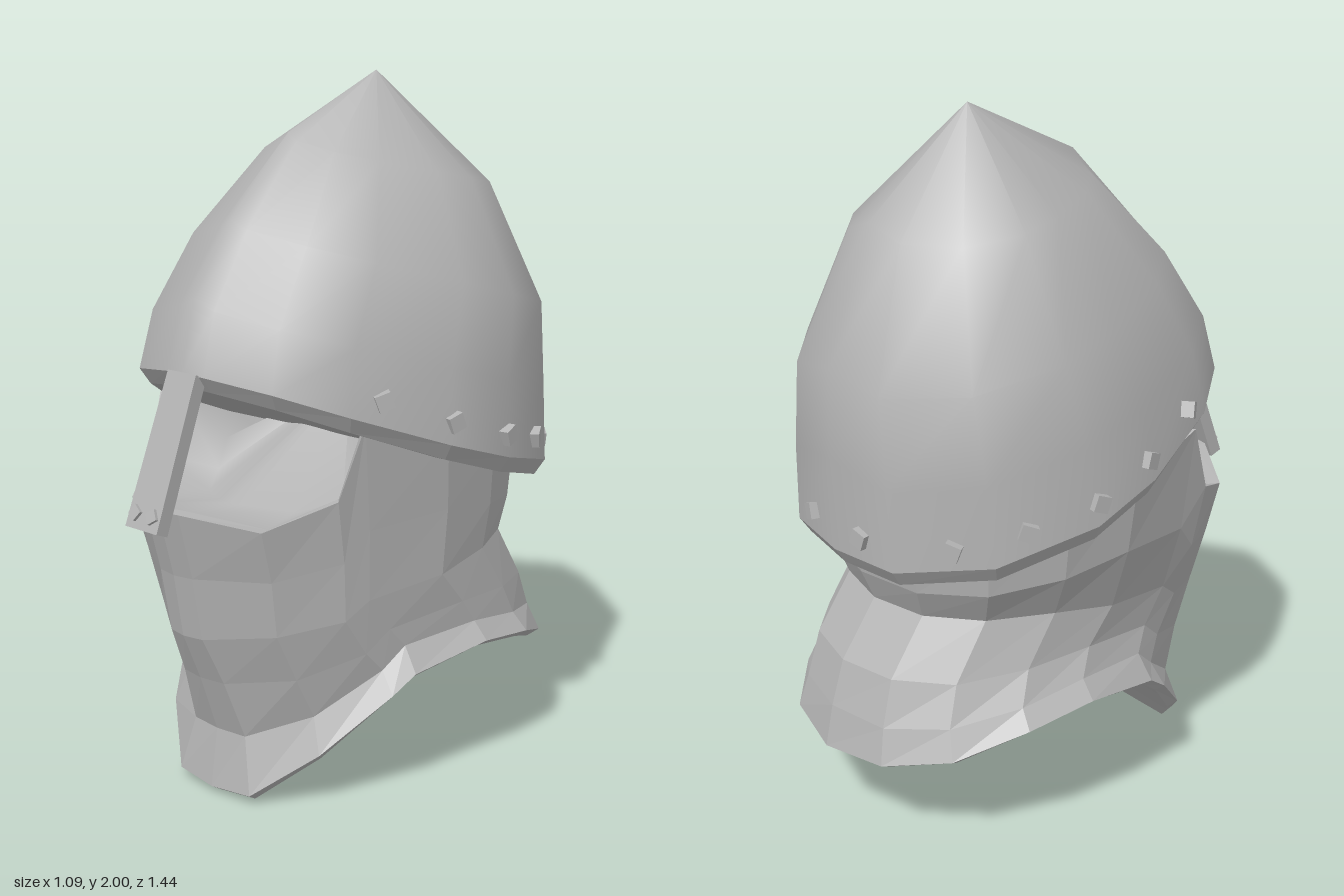
import * as THREE from 'three';

const steel = new THREE.MeshStandardMaterial({ color: 0xb4b4b4 });
steel.name = 'steel';
const V = (x, y, z) => new THREE.Vector3(x, y, z);

// Skin a list of closed rings, ordered so that the outside is downwards
function loft(name, rings, flat) {
  const n = rings[0].length, index = [];
  for (let r = 0; r < rings.length - 1; r++) {
    for (let c = 0; c < n; c++) {
      const a = r * n + c, b = r * n + (c + 1) % n;
      index.push(a, a + n, b, b, a + n, b + n);
    }
  }
  return skin(name, rings.flat(), index, flat);
}

function skin(name, points, index, flat) {
  let geo = new THREE.BufferGeometry().setFromPoints(points);
  geo.setIndex(index);
  if (flat) geo = geo.toNonIndexed();
  geo.computeVertexNormals();
  const mesh = new THREE.Mesh(geo, steel);
  mesh.name = name;
  return mesh;
}

// Complete a half ring (front centre to back centre) with its mirror image
const mirrorRing = half => [
  ...half,
  ...half.slice(1, -1).reverse().map(p => V(-p.x, p.y, p.z)),
];
const inset = (ring, k, dy = 0) => ring.map(p => V(p.x * k, p.y + dy, (p.z + 0.05) * k - 0.05));

// Height of the sloping rim at depth z
const rimY = z => 0.968 + 0.33 * z + 0.11 * z * z;
// Half outline of the skull at the rim: x, z
const outline = [[0, 0.565], [0.07, 0.555], [0.26, 0.49], [0.39, 0.33], [0.5, 0.05],
  [0.53, -0.17], [0.45, -0.45], [0.24, -0.63], [0, -0.66]];

function skull(group) {
  // width, front z, back z, front y, back y, taper; each level sags at the sides
  const levels = [[0.315, 0.16, -0.52, 1.84, 1.72, 1.2], [0.475, 0.38, -0.66, 1.62, 1.35, 1.08],
    [0.505, 0.52, -0.665, 1.42, 1.1, 1]];
  const rings = levels.map(([w, zf, zb, yf, yb, taper]) => mirrorRing(outline.map(([x, z]) => {
    const t = (0.565 - z) / 1.225, side = x / 0.53;
    return V(side ** taper * w, yf + (yb - yf) * t - 0.06 * Math.sqrt(side), zf + (zb - zf) * t);
  })));
  const edge = mirrorRing(outline.map(([x, z]) => V(x, rimY(z) + 0.04, z)));
  const lip = inset(edge, 0.95, -0.045);
  group.add(
    loft('skullDome', [edge.map(() => V(0, 2, -0.2)), ...rings, edge], false),
    loft('rimBand', [edge, lip], true),
    loft('skullUnderside', [lip, lip.map(() => V(0, 0.97, 0))], false),
  );
}

function faceAndNeckGuard(group) {
  // Half plan: x from 0 to 1, z from 1 (front) to -1 (back)
  const plan = [[0, 1], [0.14, 0.98], [0.55, 0.78], [0.8, 0.5], [0.86, 0.38],
    [1, -0.05], [0.97, -0.4], [0.78, -0.72], [0.45, -0.93], [0, -1]];
  // width, front z, back z, spread of the front columns, lean to the side, heights per column
  const rows = [
    [0.47, 0.66, -0.6, 0, -0.02, [0.87, 0.87, 0.83, 0.9, 1.1, 1.03, 0.96, 0.91, 0.87, 0.86]],
    [0.455, 0.61, -0.58, 0, -0.015, [0.68, 0.68, 0.68, 0.72, 0.8, 0.82, 0.79, 0.76, 0.75, 0.75]],
    [0.415, 0.58, -0.54, 0.01, 0.015, [0.5, 0.5, 0.52, 0.55, 0.6, 0.63, 0.66, 0.66, 0.66, 0.66]],
    [0.42, 0.52, -0.65, 0.05, 0.015, [0.36, 0.36, 0.38, 0.44, 0.5, 0.53, 0.52, 0.5, 0.5, 0.5]],
    [0.44, 0.46, -0.69, 0.09, 0, [0.19, 0.19, 0.26, 0.38, 0.44, 0.46, 0.43, 0.39, 0.37, 0.37]],
    [0.485, 0.485, -0.715, 0.15, 0, [0.02, 0.03, 0.16, 0.32, 0.37, 0.41, 0.38, 0.31, 0.27, 0.25]],
  ];
  const share = [0, 1, 0.4, 0.4, 0.3];
  const outer = rows.map(([w, zf, zb, spread, lean, ys]) => mirrorRing(plan.map(([x, z], i) =>
    V((x + spread * (share[i] || 0)) * w, ys[i], zb + (zf - zb) * (z + 1) / 2)))
    .map(p => V(p.x + lean * Math.abs(p.x) / w, p.y, p.z)));
  const top = inset(outer[0], 0.94);
  const bottom = inset(outer[5], 0.94, -0.02);

  // Hollow floor behind the eye opening, rising to the back
  const centre = V(0, 1.12, -0.1);
  const hollow = top.map(p => {
    const q = p.clone().lerp(centre, 0.3);
    return V(q.x, 0.82 + (p.y - 0.82) * 0.4, q.z);
  });

  // Saddle-shaped underside, spanning straight from side to side
  const last = plan.length - 1, n = bottom.length, under = [];
  for (let i = 0; i < last; i++) {
    const a = i, b = i + 1, c = (n - i) % n, d = n - i - 1;
    under.push(a, c, b, b, c, d);
  }
  group.add(
    loft('guardOutside', outer, true),
    loft('guardLowerLip', [outer[5], bottom], true),
    skin('guardUnderside', bottom, under, false),
    loft('eyeOpeningEdge', [top, outer[0]], true),
    loft('eyeOpeningFloor', [top.map(() => centre), hollow, top], false),
  );
}

function nasalBar(group) {
  // Bar widening slightly towards its lower end
  const geo = new THREE.BoxGeometry(0.125, 0.43, 0.04);
  const pos = geo.attributes.position;
  for (let i = 0; i < pos.count; i++) {
    if (pos.getY(i) > 0) pos.setX(i, pos.getX(i) * 0.88);
  }
  const bar = new THREE.Mesh(geo, steel);
  bar.name = 'nasalBar';
  bar.position.set(0, 1.025, 0.625);
  bar.rotation.x = -0.37;
  group.add(bar);
}

function rivets(group) {
  const add = (x, y, z, size, target, roll) => {
    const rivet = new THREE.Mesh(new THREE.BoxGeometry(size, size, size), steel);
    rivet.name = 'rivet';
    rivet.position.set(x, y, z);
    rivet.lookAt(target);
    rivet.rotateZ(roll);
    group.add(rivet);
  };
  // Around the rim: x, y, z
  const spots = [[0.42, 1.165, 0.235], [0.49, 1.085, 0.03], [0.52, 1.02, -0.165],
    [0.468, 0.97, -0.36], [0.365, 0.925, -0.525], [0.12, 0.91, -0.645]];
  for (const side of [1, -1]) {
    for (const [x, y, z] of spots) {
      add(side * x, y, z, 0.045, V(side * x * 2, y, z * 2 + 0.1), side * 0.35);
    }
    // At the foot of the nasal bar
    add(side * 0.033, 0.868, 0.7, 0.032, V(side * 0.033, 1.068, 1.2), side * 0.6);
  }
}

export function createModel() {
  const group = new THREE.Group();
  group.name = 'helmet';
  skull(group);
  faceAndNeckGuard(group);
  nasalBar(group);
  rivets(group);
  return group;
}
